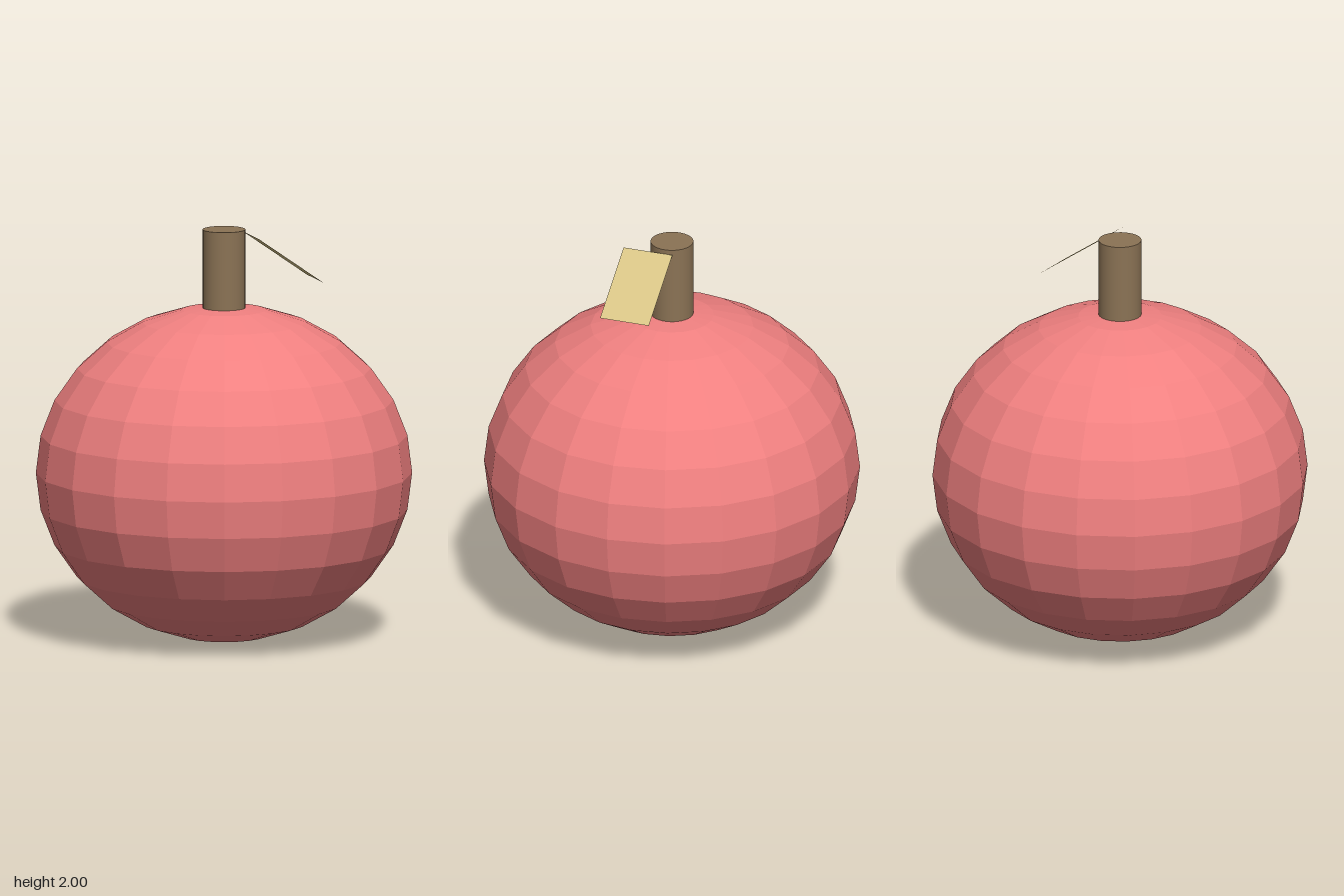
import * as THREE from 'three';

function addPart(group, name, geometry, options) {
  const mesh = new THREE.Mesh(geometry, new THREE.MeshStandardMaterial(options));
  mesh.name = name;
  group.add(mesh);
  return mesh;
}

export function createModel() {
  const group = new THREE.Group();
  group.name = 'fruit';

  // Slightly squashed, faceted round body
  const body = new THREE.SphereGeometry(0.905, 20, 14).scale(1, 0.9, 1);
  addPart(group, 'body', body, { color: 0xf08080, flatShading: true })
    .position.y = 0.815;

  // Straight round stem, sunk a little into the body
  const stem = new THREE.CylinderGeometry(0.103, 0.103, 0.4, 32);
  addPart(group, 'stem', stem, { color: 0x8b7355 }).position.y = 1.8;

  // Thin rectangular leaf sloping down from the stem top
  const leaf = new THREE.PlaneGeometry(0.4, 0.25)
    .rotateX(-Math.PI / 2)
    .rotateZ(THREE.MathUtils.degToRad(-35))
    .rotateY(THREE.MathUtils.degToRad(18));
  addPart(group, 'leaf', leaf, { color: 0xd8c586, side: THREE.DoubleSide })
    .position.set(0.283, 1.865, -0.004);

  return group;
}
